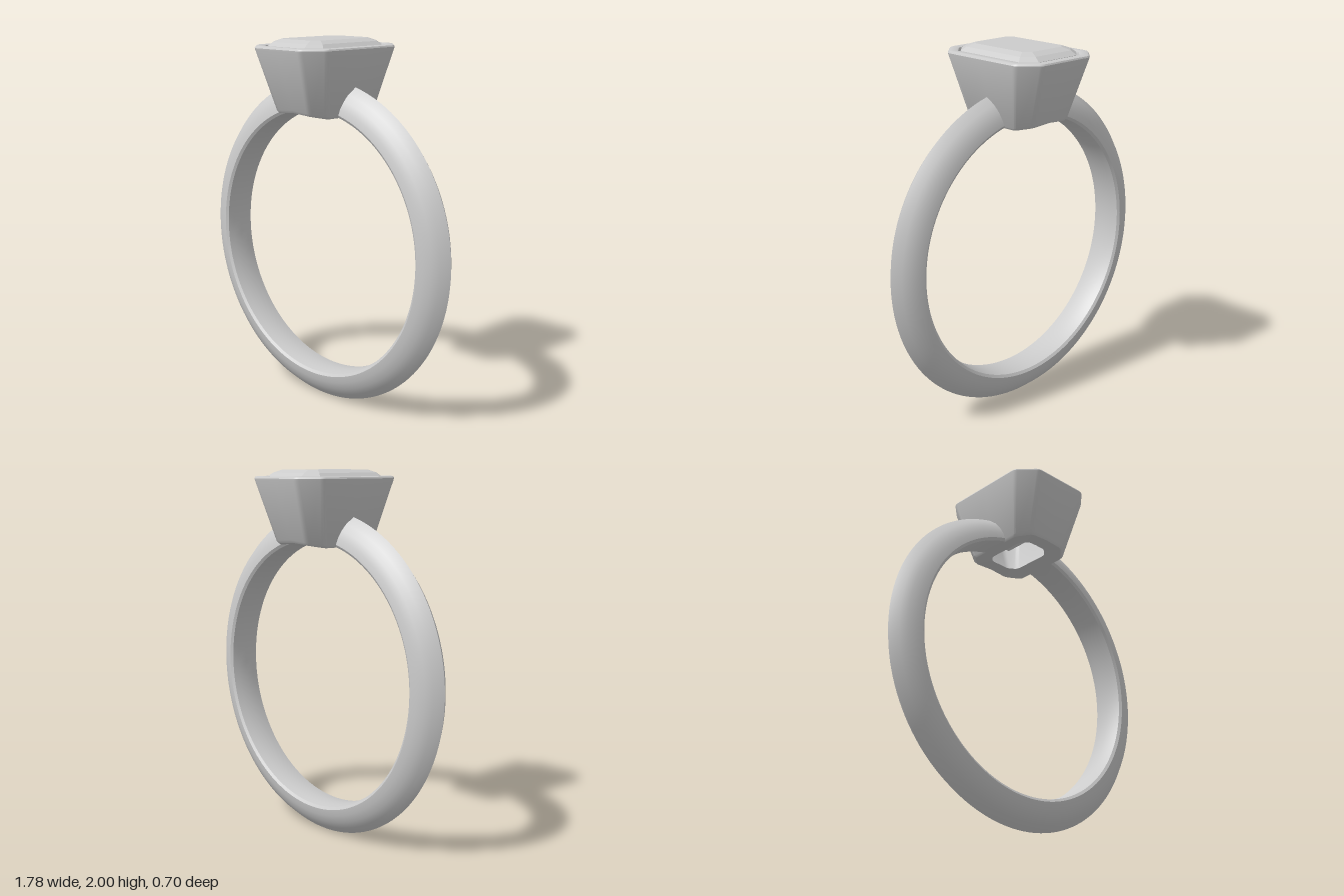
import * as THREE from 'three';
import { toCreasedNormals } from 'three/addons/utils/BufferGeometryUtils.js';

const CENTRE = 0.893; // height of the band's axis
const material = new THREE.MeshStandardMaterial({ color: 0xcccccc });

// Cut-corner rectangle, counter-clockwise from above; round softens its corners
function octagon(hx, hz, cut, round) {
  const path = [[0, hz], [hx - cut, hz], [hx, hz - cut], [hx, 0]].map(p => new THREE.Vector2(...p));
  const quarter = [path[0]];
  for (const i of [1, 2]) {
    if (!round) { quarter.push(path[i]); continue; }
    const toward = q => q.clone().sub(path[i]).setLength(round).add(path[i]);
    const bend = new THREE.QuadraticBezierCurve(toward(path[i - 1]), path[i], toward(path[i + 1]));
    quarter.push(...bend.getPoints(3));
  }
  const back = quarter.slice(1).reverse();
  const half = [path[3], ...back.slice()].map(p => p.clone());
  const right = [...quarter, ...half.map(p => new THREE.Vector2(p.x, -p.y)), new THREE.Vector2(0, -hz)];
  const left = right.slice(1, -1).reverse().map(p => new THREE.Vector2(-p.x, p.y));
  return [...right, ...left];
}

// Skin through levels of [y, half width, half depth, corner cut]
function loft(levels, round, closed, bend = (x, y) => y) {
  const rings = levels.map(([y, hx, hz, cut]) =>
    octagon(hx, hz, cut, round).map(p => [p.x, bend(p.x, y), p.y]));
  const n = rings[0].length;
  const index = [];
  const last = closed ? rings.length : rings.length - 1;
  for (let i = 0; i < last; i++) {
    const up = (i + 1) % rings.length;
    for (let j = 0; j < n; j++) {
      const k = (j + 1) % n;
      const a = i * n + j, b = i * n + k, c = up * n + k, d = up * n + j;
      index.push(a, b, c, a, c, d);
    }
  }
  const geometry = new THREE.BufferGeometry();
  geometry.setAttribute('position', new THREE.Float32BufferAttribute(rings.flat(2), 3));
  geometry.setIndex(index);
  return geometry;
}

function addPart(group, name, geometry, crease) {
  const mesh = new THREE.Mesh(toCreasedNormals(geometry, crease), material);
  mesh.name = name;
  group.add(mesh);
  return mesh;
}

export function createModel() {
  const group = new THREE.Group();
  group.name = 'ring';

  // Knife-edged band, open at the top where its ends sink into the setting
  const side = [[0.72, 0], [0.723, 0.05], [0.73, 0.085], [0.745, 0.095], [0.78, 0.088],
    [0.82, 0.07], [0.855, 0.045], [0.891, 0]];
  const outer = side.slice(3), inner = side.slice(0, 3);
  const profile = [
    ...inner.slice().map(([r, w]) => [r, -w]),
    ...outer.map(([r, w]) => [r, -w]),
    ...outer.slice(0, -1).reverse(),
    ...inner.slice().reverse(),
  ].map(p => new THREE.Vector2(...p));
  const gap = 0.19;
  const band = new THREE.LatheGeometry(profile, 128, gap - Math.PI, 2 * (Math.PI - gap));
  band.rotateX(Math.PI / 2).translate(0, CENTRE, 0);
  addPart(group, 'band', band, 0.6);

  // Hollow bezel, its foot curved to follow the finger hole
  const followFinger = (x, y) => y < 1.65 ? y - 1.62 + CENTRE + Math.sqrt(0.727 ** 2 - x * x) : y;
  addPart(group, 'bezel', loft([
    [1.62, 0.18, 0.23, 0.068],
    [1.635, 0.191, 0.241, 0.07],
    [1.945, 0.268, 0.348, 0.1],
    [1.955, 0.27, 0.35, 0.1],
    [1.963, 0.266, 0.346, 0.099],
    [1.966, 0.258, 0.338, 0.096],
    [1.966, 0.228, 0.308, 0.08],
    [1.963, 0.22, 0.3, 0.075],
    [1.953, 0.215, 0.295, 0.073],
    [1.89, 0.213, 0.293, 0.073],
    [1.62, 0.1, 0.15, 0.04],
  ], 0.018, true, followFinger), 0.65);

  // Step-cut gem, from the keel up to the flat table
  addPart(group, 'gem', loft([
    [1.68, 0, 0.08, 0],
    [1.78, 0.11, 0.18, 0.04],
    [1.88, 0.19, 0.27, 0.06],
    [1.94, 0.212, 0.292, 0.072],
    [1.962, 0.208, 0.288, 0.07],
    [1.984, 0.183, 0.255, 0.055],
    [2.0, 0.142, 0.21, 0.035],
    [2.0, 0, 0, 0],
  ], 0, false), 0.1);

  return group;
}
